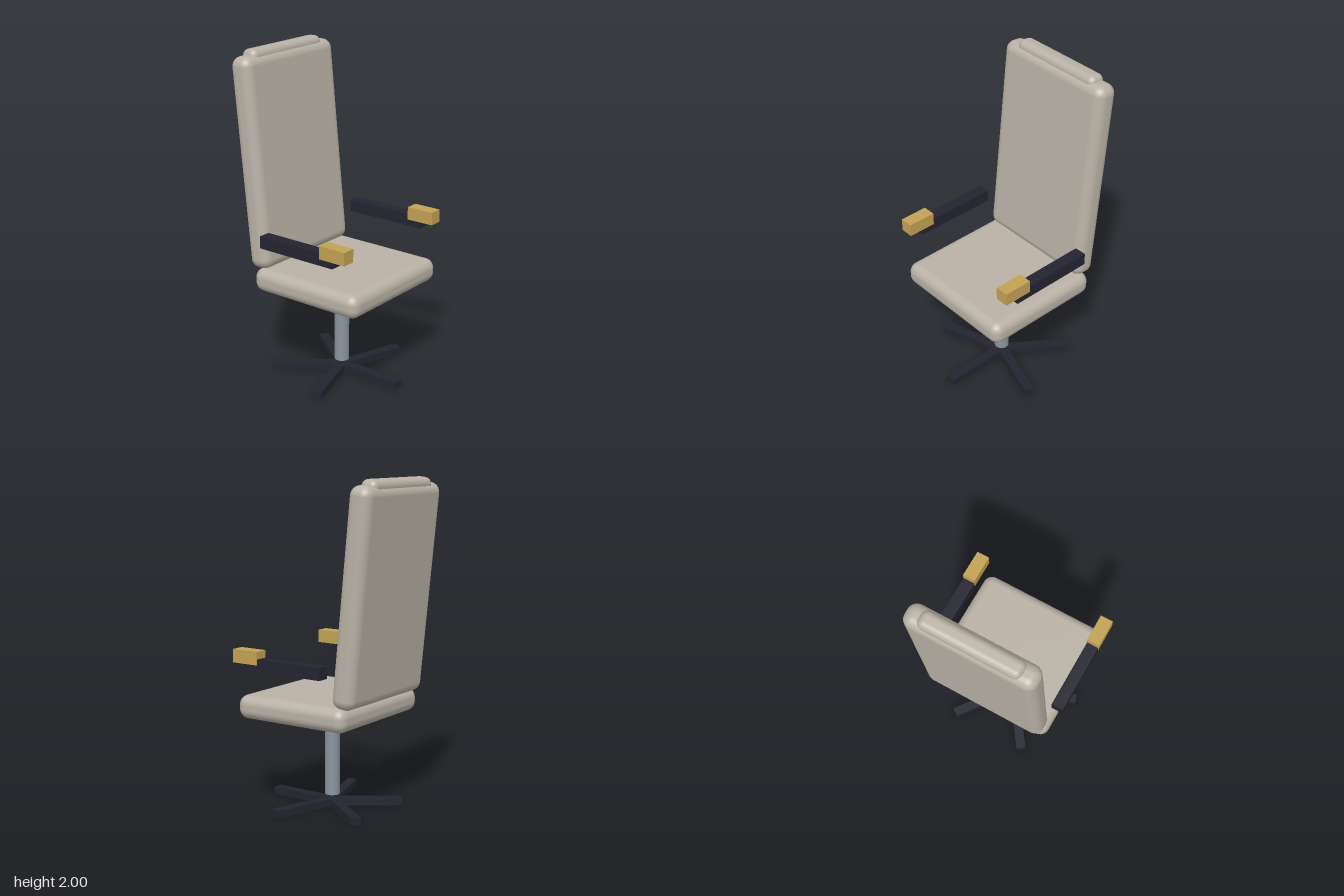
import * as THREE from 'three';
import { RoundedBoxGeometry } from 'three/addons/geometries/RoundedBoxGeometry.js';

export function createModel() {
  const chair = new THREE.Group();
  chair.name = 'officeChair';

  const material = (name, color) => {
    const m = new THREE.MeshStandardMaterial({ color });
    m.name = name;
    return m;
  };
  const fabric = material('beige upholstery', 0xb9b1a5);
  const dark = material('dark frame', 0x242430);
  const metal = material('grey metal', 0x8a949e);
  const gold = material('gold pad', 0xc2a153);

  const add = (name, geometry, mat, x, y, z, parent = chair) => {
    const mesh = new THREE.Mesh(geometry, mat);
    mesh.name = name;
    mesh.position.set(x, y, z);
    parent.add(mesh);
    return mesh;
  };
  const cushion = (w, h, d, r) => new RoundedBoxGeometry(w, h, d, 5, r);

  // Seat, and a back that leans away from it
  add('seat', cushion(0.83, 0.145, 0.77, 0.06), fabric, 0, 0.6375, 0.0725);
  const lean = -0.1;
  add('backrest', cushion(0.8, 1.273, 0.147, 0.06), fabric, 0, 1.335, -0.3425).rotation.x = lean;
  add('headrest', cushion(0.62, 0.2, 0.11, 0.04), fabric, 0, 1.9, -0.4).rotation.x = lean;

  // Armrests with raised pads at the front
  for (const [side, s] of [['left', 1], ['right', -1]]) {
    add(side + 'Armrest', new THREE.BoxGeometry(0.075, 0.075, 0.535), dark, s * 0.43, 0.9175, 0.0725);
    add(side + 'ArmPad', new THREE.BoxGeometry(0.082, 0.08, 0.178), gold, s * 0.43, 0.96, 0.339);
  }

  // Column and five-legged star base
  const axisZ = 0.045;
  add('column', new THREE.CylinderGeometry(0.045, 0.045, 0.51, 32), metal, 0, 0.325, axisZ);
  const base = new THREE.Group();
  base.name = 'starBase';
  base.position.z = axisZ;
  chair.add(base);
  const legLength = 0.43;
  for (let i = 0; i < 5; i++) {
    const geometry = new THREE.BoxGeometry(0.06, 0.045, legLength).translate(0, 0, legLength / 2);
    add('baseLeg' + (i + 1), geometry, dark, 0, 0.0225, 0, base).rotation.y = (i * Math.PI * 2) / 5;
  }

  return chair;
}
